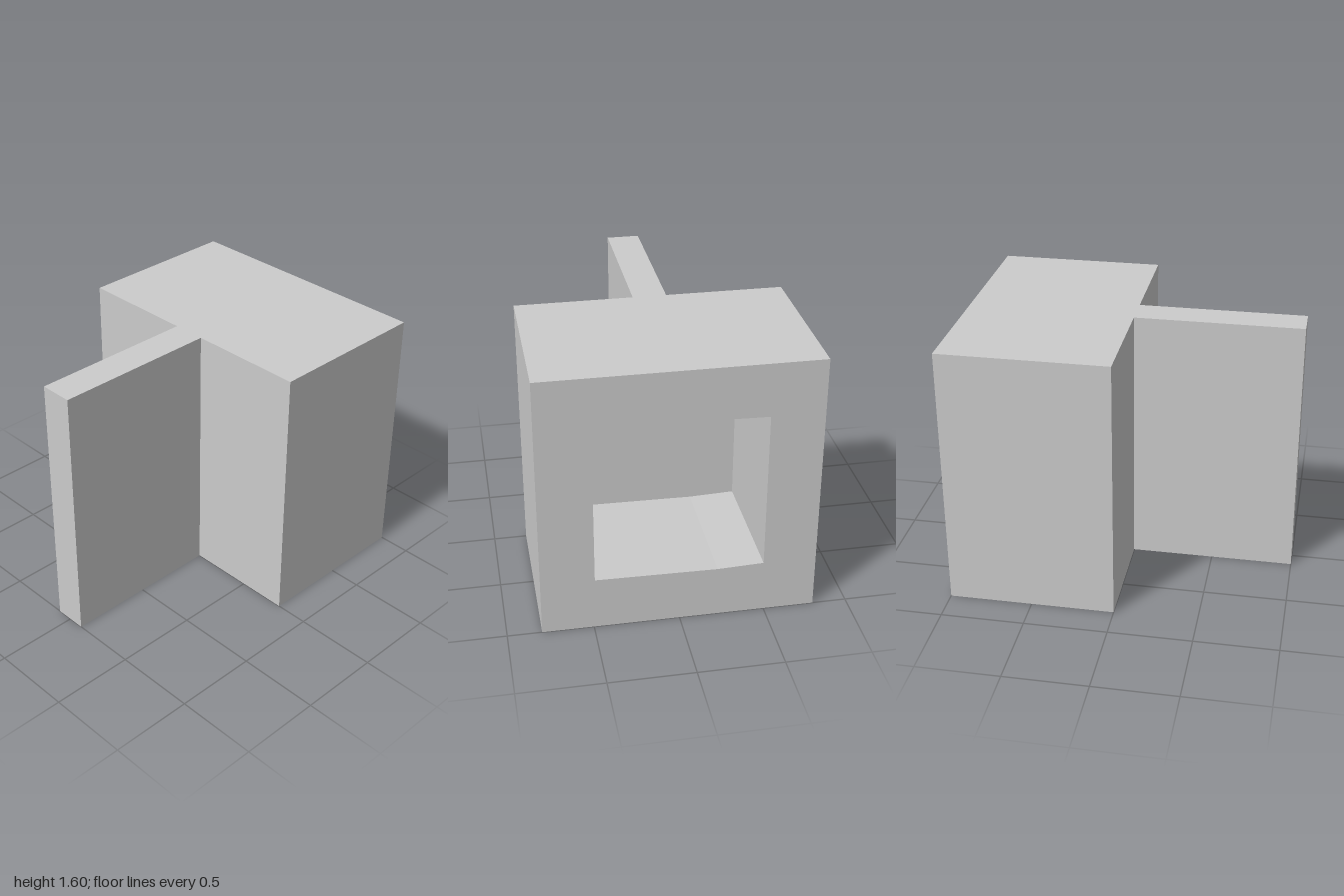
import * as THREE from 'three';

const material = new THREE.MeshStandardMaterial({ color: 0xcccccc, flatShading: true });

function part(name, geometry) {
  const mesh = new THREE.Mesh(geometry, material);
  mesh.name = name;
  return mesh;
}

const points = (list) => list.map(([x, y]) => new THREE.Vector2(x, y));

// Block and front fin in one T-shaped plan, left open at the back
function createShell() {
  const plan = new THREE.Shape(points([
    [-0.8, 1], [-0.8, 0], [-0.1, 0], [-0.1, -1],
    [0.1, -1], [0.1, 0], [0.8, 0], [0.8, 1],
  ]));
  const solid = new THREE.ExtrudeGeometry(plan, { depth: 1.6, bevelEnabled: false });
  solid.rotateX(-Math.PI / 2);
  const p = solid.attributes.position;
  const kept = [];
  for (let i = 0; i < p.count; i += 3) {
    const isBack = [0, 1, 2].every((k) => p.getZ(i + k) < -0.999);
    if (isBack) continue;
    for (let k = 0; k < 3; k++) kept.push(p.getX(i + k), p.getY(i + k), p.getZ(i + k));
  }
  const geometry = new THREE.BufferGeometry();
  geometry.setAttribute('position', new THREE.Float32BufferAttribute(kept, 3));
  geometry.computeVertexNormals();
  return geometry;
}

// Straight walls of the recess, facing inward
function createRecessWalls(outline, zInner, zOuter) {
  const position = [];
  outline.forEach((a, i) => {
    const b = outline[(i + 1) % outline.length];
    position.push(
      a.x, a.y, zOuter, b.x, b.y, zOuter, b.x, b.y, zInner,
      a.x, a.y, zOuter, b.x, b.y, zInner, a.x, a.y, zInner,
    );
  });
  const geometry = new THREE.BufferGeometry();
  geometry.setAttribute('position', new THREE.Float32BufferAttribute(position, 3));
  geometry.computeVertexNormals();
  return geometry;
}

export function createModel() {
  const model = new THREE.Group();
  model.name = 'hollowBlockWithFin';
  model.add(part('blockAndFin', createShell()));

  // Rear opening, built facing +z and turned around; its edges bow out slightly
  const rear = new THREE.Group();
  rear.name = 'rearOpening';
  rear.rotation.y = Math.PI;
  const outline = points([
    [-0.49, 0.323], [0.22, 0.313], [0.49, 0.323],
    [0.49, 1.28], [0.05, 1.29], [-0.49, 1.28],
  ]);
  const zInner = 0.21;

  const frame = new THREE.Shape(points([[-0.8, 0], [0.8, 0], [0.8, 1.6], [-0.8, 1.6]]));
  frame.holes.push(new THREE.Path(outline));
  rear.add(part('rearFrame', new THREE.ShapeGeometry(frame).translate(0, 0, 1)));
  rear.add(part('recessWalls', createRecessWalls(outline, zInner, 1)));
  const end = new THREE.ShapeGeometry(new THREE.Shape(outline)).translate(0, 0, zInner);
  rear.add(part('recessEnd', end));
  model.add(rear);

  return model;
}
